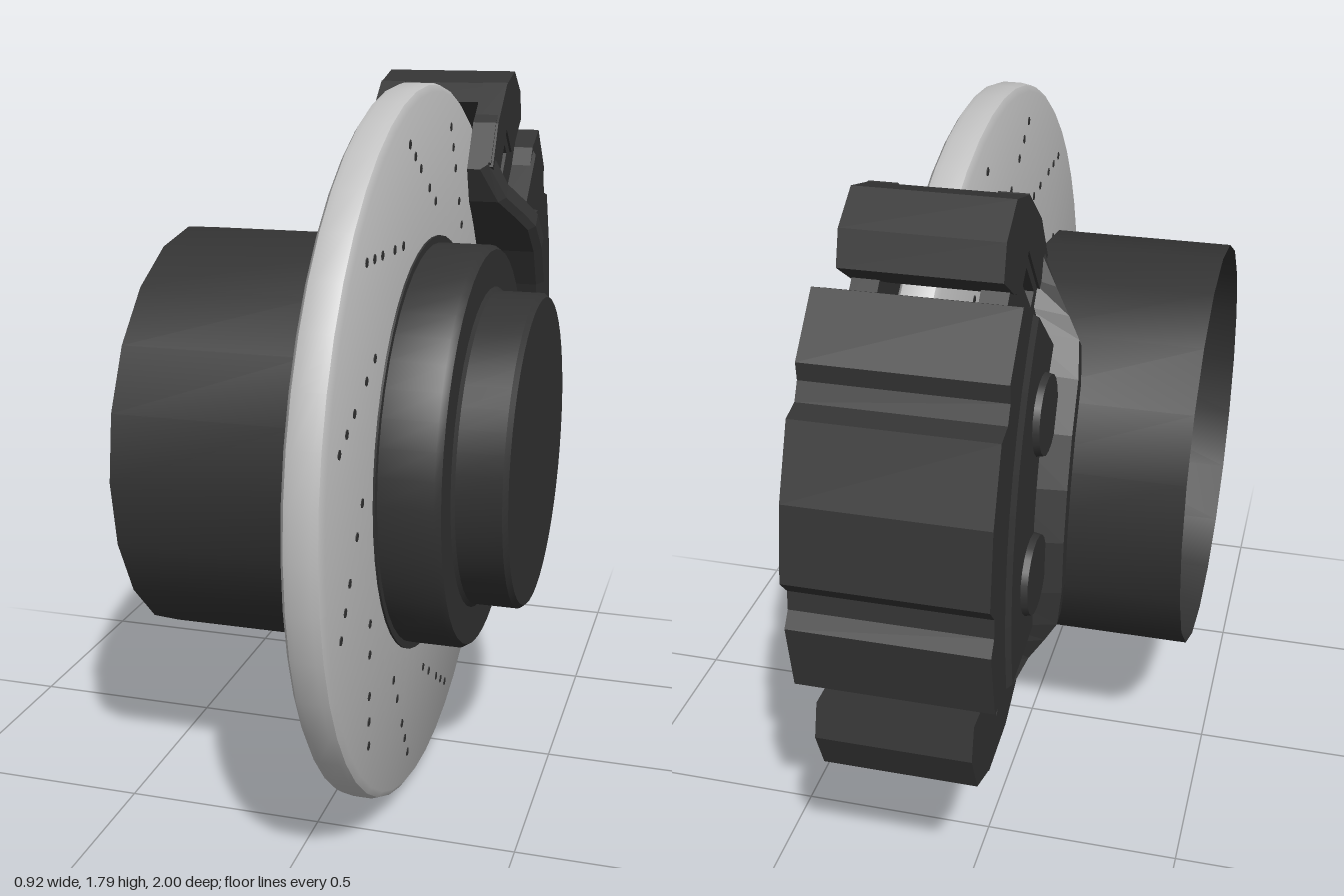
import * as THREE from 'three';
import { toCreasedNormals } from 'three/addons/utils/BufferGeometryUtils.js';

const black = new THREE.MeshStandardMaterial({ color: 0x333333, side: THREE.DoubleSide });
black.name = 'black metal';
const steel = new THREE.MeshStandardMaterial({ color: 0xc0c0c0, side: THREE.DoubleSide });
steel.name = 'steel';

const AXIS_Y = 0.895, AXIS_Z = 0.105;

function add(parent, name, geometry, material) {
  const mesh = new THREE.Mesh(geometry, material);
  mesh.name = name;
  parent.add(mesh);
  return mesh;
}

// Turned part around the x axis; profile is [radius, x]
function turned(profile, segments) {
  const g = new THREE.LatheGeometry(profile.map(p => new THREE.Vector2(p[0], p[1])), segments);
  g.rotateZ(-Math.PI / 2);
  return toCreasedNormals(g, 0.6);
}

const polar = (deg, r) => {
  const a = THREE.MathUtils.degToRad(deg);
  return new THREE.Vector2(r * Math.cos(a), r * Math.sin(a));
};
const mirrorAngles = half => [...half, ...half.filter(p => p[0] !== 0).map(p => [-p[0], ...p.slice(1)]).reverse()];

// Plate from a polar outline [degrees, radius], between two depths
function plate(outline, z0, z1, holes = []) {
  const shape = new THREE.Shape(outline.map(p => polar(...p)));
  holes.forEach(h => shape.holes.push(new THREE.Path(h.map(p => polar(...p)))));
  const g = new THREE.ExtrudeGeometry(shape, { depth: z1 - z0, bevelEnabled: false });
  return g.translate(0, 0, z0);
}

// Faceted loft; each section is [degrees, [[depth, radius], ...]]
function loft(sections) {
  const rings = sections.map(([deg, pts]) => pts.map(([z, r]) => {
    const p = polar(deg, r);
    return [p.x, p.y, z];
  }));
  const pos = [], n = rings[0].length;
  const tri = (a, b, c) => pos.push(...a, ...b, ...c);
  for (let s = 0; s < rings.length - 1; s++) {
    for (let k = 0; k < n; k++) {
      const a = rings[s], b = rings[s + 1], m = (k + 1) % n;
      tri(a[k], a[m], b[m]);
      tri(a[k], b[m], b[k]);
    }
  }
  const first = rings[0], last = rings[rings.length - 1];
  for (let k = 1; k < n - 1; k++) {
    tri(first[0], first[k + 1], first[k]);
    tri(last[0], last[k], last[k + 1]);
  }
  const g = new THREE.BufferGeometry();
  g.setAttribute('position', new THREE.Float32BufferAttribute(pos, 3));
  g.computeVertexNormals();
  return g;
}

function buildWheelEnd() {
  const group = new THREE.Group();
  group.name = 'rotorAndHub';
  group.position.set(0, AXIS_Y, AXIS_Z);

  // Rotor with softened rim, and the hat behind it
  add(group, 'rotor', turned([[0.3, 0.085], [0.875, 0.085], [0.89, 0.095], [0.895, 0.11],
    [0.895, 0.155], [0.89, 0.17], [0.875, 0.18], [0.3, 0.18]], 48), steel);
  add(group, 'rotorHat', turned([[0.15, -0.005], [0.435, -0.005], [0.455, 0.09]], 48), steel);
  [[0.13, 0.2], [0.3, 0.306], [0.38, 0.386]].forEach(([r0, r1]) =>
    add(group, 'hatRing', turned([[r0, -0.012], [r1, -0.012], [r1, -0.004]], 40), black));
  add(group, 'hubCentre', turned([[0, 0.01], [0.16, 0.01], [0.16, 0.09]], 32), black);

  // Open drum sleeve
  add(group, 'drum', turned([[0.525, -0.46], [0.525, -0.01]], 20), black);

  // Stepped hub
  add(group, 'hubSeat', turned([[0.3, 0.178], [0.525, 0.178], [0.525, 0.185], [0.3, 0.185]], 48), black);
  add(group, 'hubFlange', turned([[0.507, 0.18], [0.507, 0.315], [0.497, 0.33], [0.3, 0.33]], 48), black);
  add(group, 'hubCap', turned([[0.41, 0.325], [0.395, 0.338], [0.395, 0.448], [0.385, 0.46], [0, 0.46]], 48), black);

  // Twelve slanted rows of drill marks on both faces
  const dot = new THREE.CylinderGeometry(0.011, 0.011, 0.098, 8).rotateZ(Math.PI / 2);
  const marks = new THREE.Group();
  marks.name = 'drillMarks';
  group.add(marks);
  for (let i = 0; i < 12; i++) {
    const outer = polar(74.5 + i * 30, 0.8), inner = polar(93.8 + i * 30, 0.61);
    [0, 0.2, 0.41, 0.75, 1].forEach(t => {
      const p = outer.clone().lerp(inner, t);
      add(marks, 'drillMark', dot, black).position.set(0.1325, p.y, p.x);
    });
  }
  return group;
}

function buildCaliper() {
  // Local frame: x radially outwards, y along the arc, z across the rotor
  const caliper = new THREE.Group();
  caliper.name = 'caliper';
  caliper.position.set(0.075, AXIS_Y, AXIS_Z);
  caliper.rotation.set(0, Math.PI / 2, THREE.MathUtils.degToRad(18));

  // Inner edge: degrees, radius, rail half width
  const edge = mirrorAngles([[-42, 0.75, 0.165], [-36, 0.692, 0.21], [-31, 0.682, 0.25], [-27, 0.675, 0.28],
    [-20, 0.666, 0.29], [-10, 0.656, 0.29], [0, 0.652, 0.29]]);
  const rim = mirrorAngles([[42, 0.885], [39, 1.0], [30, 1.0], [24, 1.0], [16, 1.0], [8, 1.0], [0, 1.0]]);
  const slot = s => [[s * 30.2, 0.79], [s * 33, 0.79], [s * 33, 0.9], [s * 30.2, 0.9]];
  const arc = mirrorAngles([[24.5, 0], [20, 0], [15, 0], [10, 0], [5, 0], [0, 0]]).map(p => p[0]);

  for (const side of [1, -1]) {
    const half = new THREE.Group();
    half.name = side > 0 ? 'outerSide' : 'innerSide';
    half.scale.z = side;
    caliper.add(half);
    add(half, 'sideWall', plate([...edge.map(([a, r]) => [a, r + 0.02]), ...rim],
      0.11, 0.172, [slot(1), slot(-1)]), black);
    add(half, 'rail', loft(edge.map(([a, r, w]) =>
      [a, [[0.11, r], [w - 0.02, r], [w, r + 0.015], [w, r + 0.055], [0.15, r + 0.085], [0.11, r + 0.085]]])), black);
    // Raised body with a bevelled outer edge
    add(half, 'sideBody', loft(arc.slice().reverse().map(a =>
      [a, [[0.15, 0.75], [0.215, 0.75], [0.235, 0.78], [0.235, 0.97], [0.222, 0.99], [0.15, 0.99]]])), black);
    // Piston housings
    [-13, 13].forEach(a => {
      const p = polar(a, 0.8);
      const boss = add(half, 'pistonHousing', new THREE.CylinderGeometry(0.09, 0.105, 0.08, 20), black);
      boss.rotation.x = Math.PI / 2;
      boss.position.set(p.x, p.y, 0.21);
    });
  }

  // Notched bridge over the rotor
  const outer = mirrorAngles([[-25.3, 0.985], [-23.6, 1.08], [-15, 1.1], [-13.2, 1.076], [-10.8, 1.076],
    [-9, 1.115], [0, 1.12]]);
  add(caliper, 'bridge', plate([...outer, ...arc.map(a => [a, 0.93])], -0.225, 0.225), black);

  // End blocks joining both sides
  for (const s of [1, -1]) {
    const outline = [[s * 26.8, 0.985], [s * 25.9, 1.085], [s * 29.7, 1.122], [s * 35.2, 1.11],
      [s * 38.8, 1.03], [s * 40, 0.96], [s * 34, 0.93], [s * 28, 0.93]];
    add(caliper, 'endBlock', plate(outline, -0.178, 0.178), black);
    for (const z of [-0.178, 0.11]) {
      add(caliper, 'endCheek', plate([[s * 34.5, 0.76], [s * 34.5, 0.96], [s * 39, 1.03],
        [s * 41.8, 0.885], [s * 41.6, 0.76]], z, z + 0.068), black);
    }
  }
  return caliper;
}

export function createModel() {
  const model = new THREE.Group();
  model.name = 'discBrake';
  model.add(buildWheelEnd(), buildCaliper());
  return model;
}
